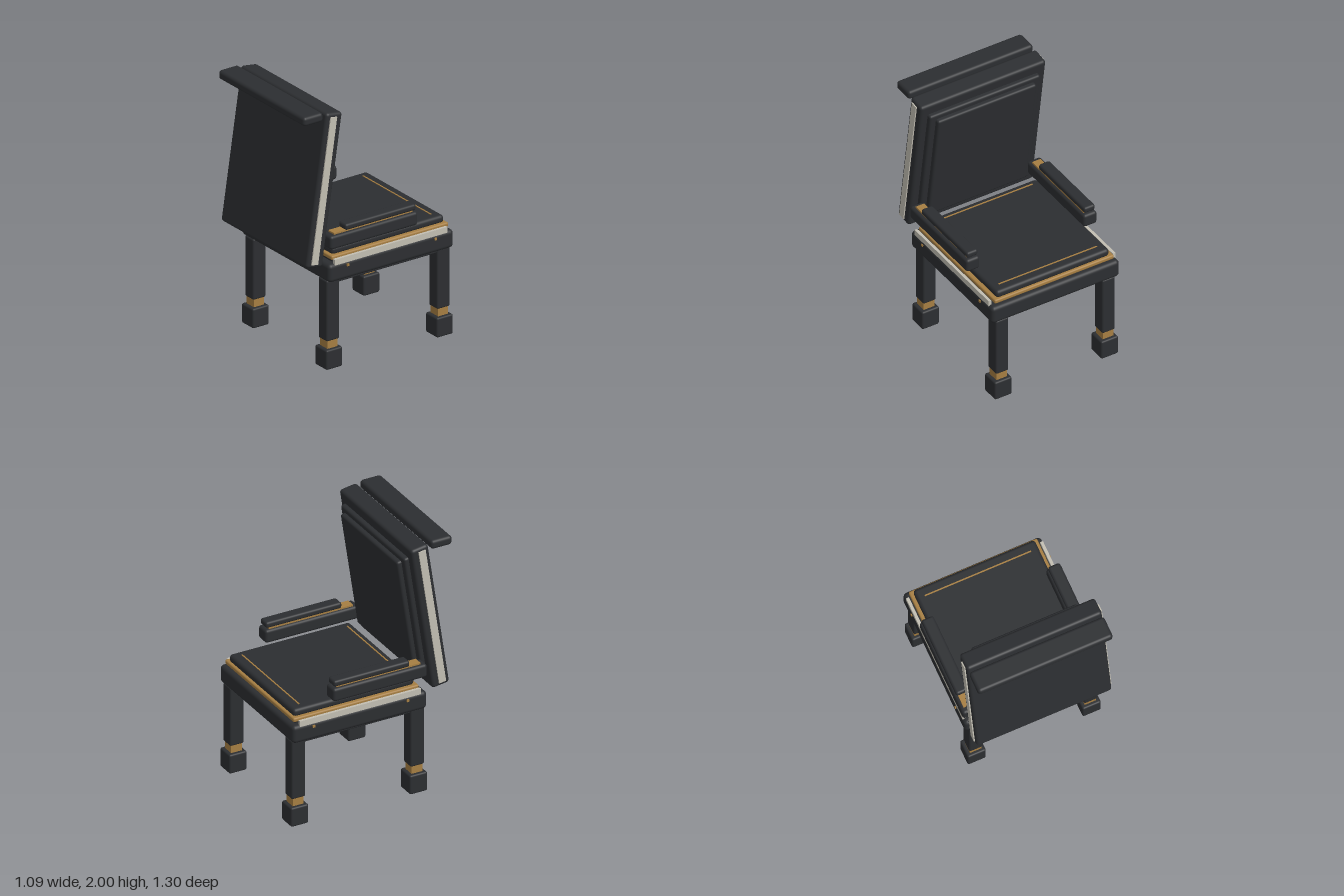
import * as THREE from 'three';
import { RoundedBoxGeometry } from 'three/addons/geometries/RoundedBoxGeometry.js';

const dark = new THREE.MeshStandardMaterial({ color: 0x2c2e31 });
const brass = new THREE.MeshStandardMaterial({ color: 0xa67e42 });
const ivory = new THREE.MeshStandardMaterial({ color: 0xc2beb2 });

// Box given by its extents on each axis, with rounded edges when r > 0
function block(parent, name, material, [x0, x1], [y0, y1], [z0, z1], r = 0) {
  const w = x1 - x0, h = y1 - y0, d = z1 - z0;
  const geometry = r > 0 ? new RoundedBoxGeometry(w, h, d, 3, r) : new THREE.BoxGeometry(w, h, d);
  const mesh = new THREE.Mesh(geometry, material);
  mesh.name = name;
  mesh.position.set((x0 + x1) / 2, (y0 + y1) / 2, (z0 + z1) / 2);
  parent.add(mesh);
  return mesh;
}

function group(parent, name) {
  const g = new THREE.Group();
  g.name = name;
  parent.add(g);
  return g;
}

// Range of a given size around a centre
const around = (c, size) => [c - size / 2, c + size / 2];

function addLeg(parent, name, x, z) {
  const leg = group(parent, name);
  block(leg, 'legPost', dark, around(x, 0.106), [0.21, 0.68], around(z, 0.112), 0.014);
  block(leg, 'legCollar', brass, around(x, 0.088), [0.14, 0.22], around(z, 0.088));
  block(leg, 'foot', dark, around(x, 0.142), [0, 0.152], around(z, 0.142), 0.014);
}

function addArm(parent, name, s) {
  const arm = group(parent, name);
  block(arm, 'armBody', dark, around(s * 0.488, 0.112), [0.932, 1.036], [-0.325, 0.435], 0.022);
  block(arm, 'armTrim', brass, around(s * 0.485, 0.07), [1.03, 1.048], [-0.29, 0.39]);
  block(arm, 'armPad', dark, around(s * 0.488, 0.092), [1.046, 1.094], [-0.315, 0.298], 0.018);
}

export function createModel() {
  const chair = new THREE.Group();
  chair.name = 'armchair';

  // Legs
  for (const [side, x] of [['left', 0.443], ['right', -0.443]]) {
    addLeg(chair, side + 'LegUnderBack', x, 0.38);
    addLeg(chair, side + 'LegUnderSeatEdge', x, -0.58);
  }

  // Seat: frame, trim and cushion
  const seat = group(chair, 'seat');
  block(seat, 'seatFrame', dark, [-0.532, 0.532], [0.672, 0.812], [-0.645, 0.44], 0.03);
  block(seat, 'seatTrim', brass, [-0.496, 0.496], [0.826, 0.86], [-0.622, 0.392], 0.012);
  block(seat, 'seatCore', dark, [-0.48, 0.48], [0.79, 0.835], [-0.6, 0.38]);
  block(seat, 'seatCushion', dark, [-0.47, 0.47], [0.85, 0.912], [-0.605, 0.37], 0.026);
  for (const z of [-0.53, 0.32])
    block(seat, 'cushionPiping', brass, [-0.41, 0.41], [0.904, 0.916], around(z, 0.01));
  for (const s of [1, -1]) {
    block(seat, 'seatSideStrip', ivory, around(s * 0.517, 0.022), [0.8, 0.845], [-0.588, 0.39]);
    block(seat, 'underRail', dark, around(s * 0.46, 0.05), [0.642, 0.685], [-0.62, 0.42], 0.01);
    for (const z of [0.28, -0.48])
      block(seat, 'stud', brass, around(s * 0.53, 0.018), around(0.781, 0.018), around(z, 0.018));
  }

  // Arms
  addArm(chair, 'leftArm', 1);
  addArm(chair, 'rightArm', -1);

  // Tilted backrest with two stepped pads and side strips
  const back = group(chair, 'backrest');
  back.position.set(0, 1.398, 0.471);
  back.rotation.x = -0.15;
  block(back, 'backPanel', dark, [-0.522, 0.522], [-0.584, 0.584], [-0.071, 0.071], 0.024);
  block(back, 'backPad', dark, [-0.46, 0.46], [-0.5, 0.5], [-0.107, -0.05], 0.018);
  block(back, 'backCushion', dark, [-0.41, 0.41], [-0.462, 0.462], [-0.143, -0.085], 0.018);
  for (const s of [1, -1])
    block(back, 'backSideStrip', ivory, around(s * 0.521, 0.02), [-0.555, 0.555], [-0.018, 0.038]);

  // Bar behind the top of the backrest
  block(chair, 'headBar', dark, [-0.52, 0.52], [1.93, 2], [0.48, 0.65], 0.024);

  return chair;
}
